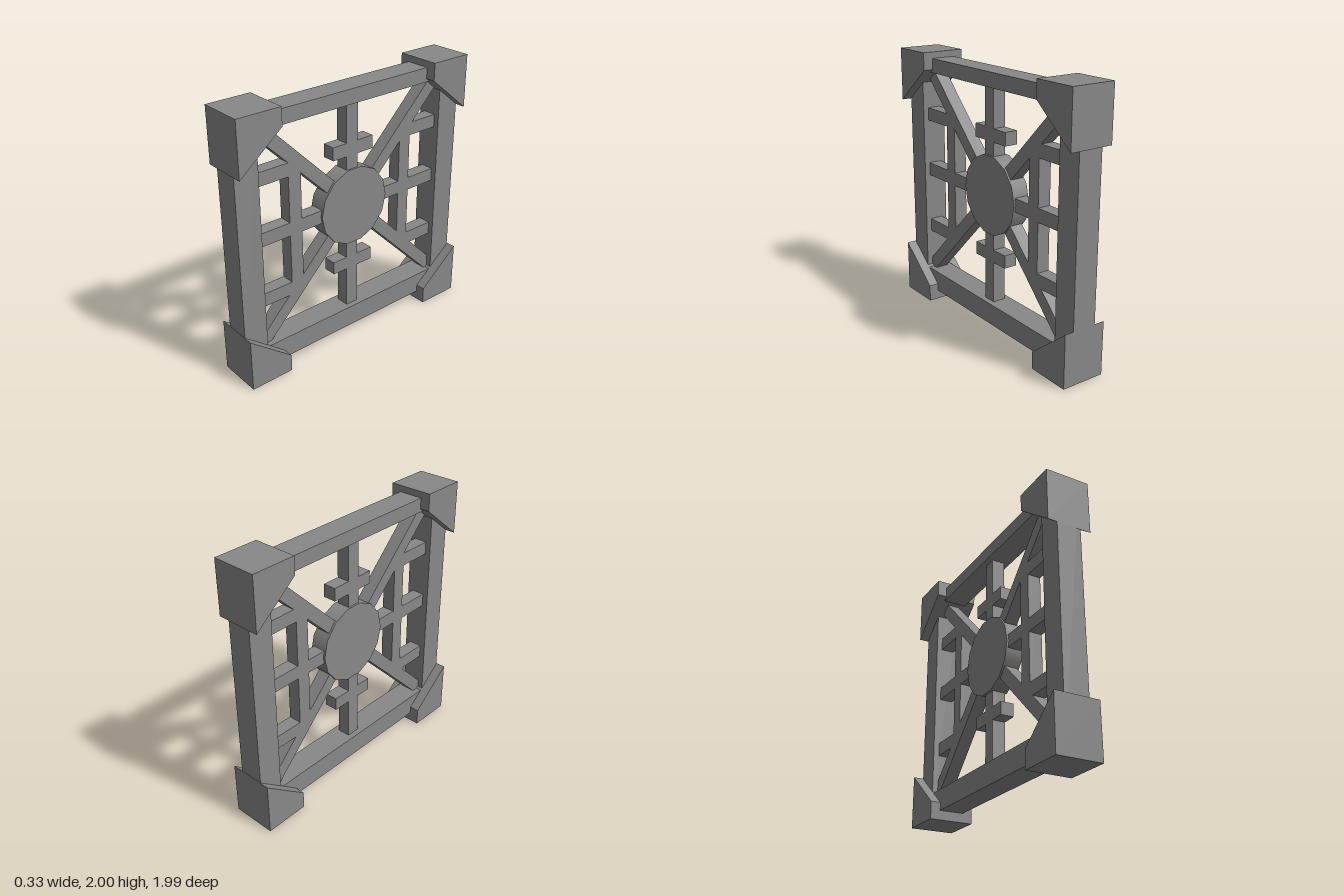
import * as THREE from 'three';

const material = new THREE.MeshStandardMaterial({ color: 0x888888 });

export function createModel() {
  const model = new THREE.Group();
  model.name = 'windowFrame';

  const add = (name, geometry, y = 0, z = 0) => {
    const mesh = new THREE.Mesh(geometry, material);
    mesh.name = name;
    mesh.position.set(0, y, z);
    model.add(mesh);
    return mesh;
  };
  // Bar given by its extents in height and depth, centred on x = 0
  const bar = (name, width, y0, y1, z0, z1) =>
    add(name, new THREE.BoxGeometry(width, y1 - y0, Math.abs(z1 - z0)), (y0 + y1) / 2, (z0 + z1) / 2);

  // Chamfered corner blocks
  const profile = [[0.996, 0], [0.662, 0], [0.662, 0.13], [0.996, 0.4]];
  for (const s of [1, -1]) {
    for (const top of [false, true]) {
      const points = profile.map(([z, y]) => new THREE.Vector2(s * z, top ? 2 - y : y));
      const block = new THREE.ExtrudeGeometry(new THREE.Shape(points), { depth: 0.334, bevelEnabled: false });
      block.translate(0, 0, -0.167).rotateY(-Math.PI / 2);
      add('cornerBlock', block);
    }
  }

  // Outer frame
  bar('topBeam', 0.185, 1.845, 1.952, -0.85, 0.85);
  bar('bottomBeam', 0.185, 0.071, 0.233, -0.85, 0.85);
  for (const s of [1, -1]) bar('sidePost', 0.185, 0.1, 1.9, s * 0.807, s * 0.99);

  // Central hub
  const hubY = 1.06, hubZ = -0.015;
  add('hub', new THREE.CylinderGeometry(0.298, 0.298, 0.13, 14).rotateZ(Math.PI / 2), hubY, hubZ);

  // Upright spoke with two short crosspieces
  bar('uprightSpoke', 0.1, 0.2, 1.88, -0.052, 0.049);
  bar('upperCrosspiece', 0.1, 1.453, 1.552, -0.189, 0.168);
  bar('lowerCrosspiece', 0.1, 0.549, 0.647, -0.189, 0.168);

  // Diagonal spokes through the hub
  for (const s of [1, -1]) {
    const spoke = add('diagonalSpoke', new THREE.BoxGeometry(0.1, 0.096, 2.3), hubY, hubZ);
    spoke.rotation.x = s * Math.PI / 4;
  }

  // Side lattice
  for (const s of [1, -1]) {
    bar('latticeUpright', 0.1, 0.6, 1.5, s * 0.45 - 0.004, s * 0.552 - 0.004);
    bar('upperRail', 0.1, 1.453, 1.552, s * 0.46, s * 0.83);
    bar('middleRail', 0.1, 1.01, 1.111, s * 0.2, s * 0.83);
    bar('lowerRail', 0.1, 0.54, 0.641, s * 0.47, s * 0.83);
  }

  return model;
}
